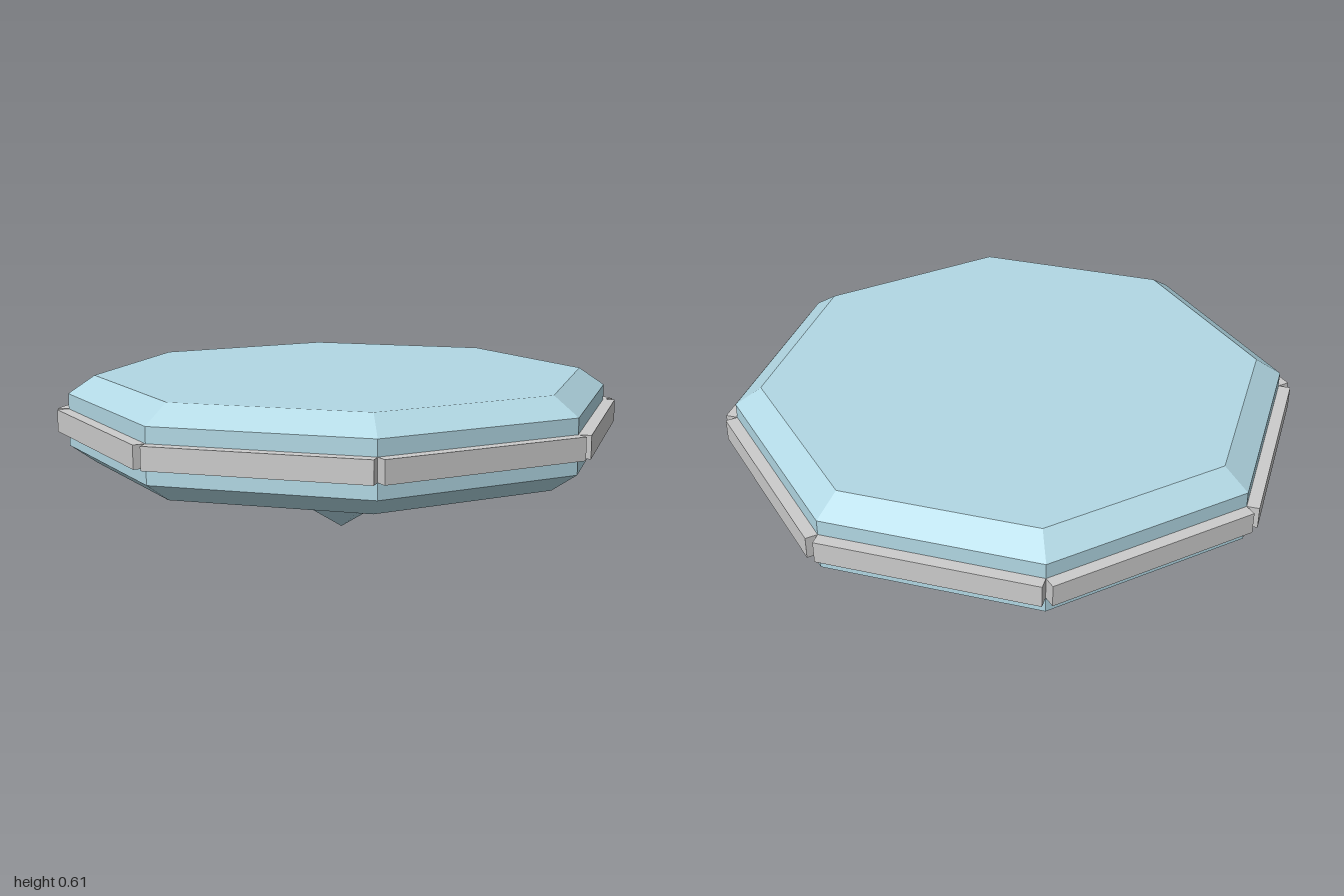
import * as THREE from 'three';

const SIDES = 8;
const APOTHEM = 0.955; // centre to flat side of the slab
const toCorner = 1 / Math.cos(Math.PI / SIDES);

// Faceted solid of revolution from [radius, y] pairs, listed bottom to top
function facetedSolid(name, profile, material, phiStart) {
  const points = profile.map(([r, y]) => new THREE.Vector2(r, y));
  const mesh = new THREE.Mesh(new THREE.LatheGeometry(points, SIDES, phiStart), material);
  mesh.name = name;
  return mesh;
}

export function createModel() {
  const group = new THREE.Group();
  group.name = 'octagonalPlatform';
  const blue = new THREE.MeshStandardMaterial({ color: 0xb2d8e4, flatShading: true });
  const grey = new THREE.MeshStandardMaterial({ color: 0xcccccc, flatShading: true });

  // Bevelled octagonal slab, flat sides facing the axes
  const outer = APOTHEM * toCorner;
  const inner = 0.863 * toCorner;
  group.add(facetedSolid('slab', [
    [0, 0.275], [inner, 0.275], [outer, 0.343], [outer, 0.542], [inner, 0.61], [0, 0.61],
  ], blue, Math.PI / SIDES));

  // Cut gem floating below the slab, corners on the axes
  group.add(facetedSolid('gem', [
    [0, 0], [0.273, 0.172], [0.24, 0.24], [0, 0.24],
  ], blue, 0));

  // One separate rail along each side of the slab
  const length = 2 * APOTHEM * Math.tan(Math.PI / SIDES);
  const railGeometry = new THREE.BoxGeometry(length, 0.083, 0.045);
  railGeometry.translate(0, 0.4425, APOTHEM + 0.0225);
  const rails = new THREE.Group();
  rails.name = 'rails';
  for (let i = 0; i < SIDES; i++) {
    const rail = new THREE.Mesh(railGeometry, grey);
    rail.name = `rail${i + 1}`;
    rail.rotation.y = (i * 2 * Math.PI) / SIDES;
    rails.add(rail);
  }
  group.add(rails);
  return group;
}
